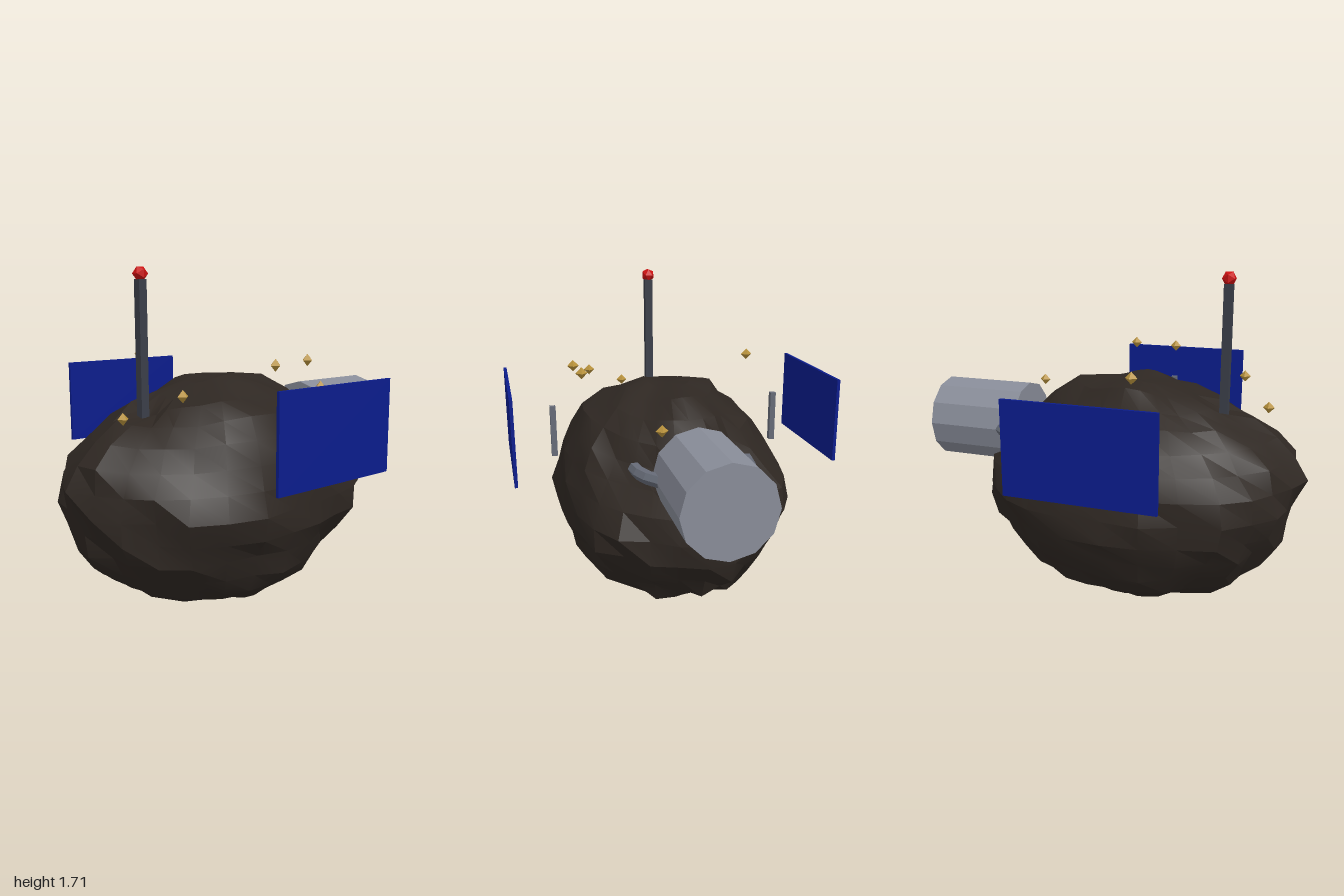
import * as THREE from 'three';
import { toCreasedNormals } from 'three/addons/utils/BufferGeometryUtils.js';

const mat = (color, flatShading = true) => new THREE.MeshStandardMaterial({ color, flatShading });

function add(parent, name, geometry, material, x = 0, y = 0, z = 0) {
  const mesh = new THREE.Mesh(geometry, material);
  mesh.name = name;
  mesh.position.set(x, y, z);
  parent.add(mesh);
  return mesh;
}

// Large lumps and dents of the rock: direction, then height
const LUMPS = [
  [-0.97, 0.24, 0, 0.08], [-1, -0.08, 0, -0.05], [-0.7, 0.7, 0, 0.05], [-0.55, 0.83, 0, -0.1],
  [0.49, 0.87, 0, 0.07], [0.97, -0.24, 0, 0.06], [1, 0.05, 0, 0.03],
  [0, 0.72, 0.7, 0.1], [0, -0.7, 0.72, 0.08], [0, -0.7, -0.72, 0.08],
  [-0.68, 0, -0.73, 0.1], [0.48, 0, -0.88, 0.08], [0.7, 0, 0.71, 0.1], [-0.47, 0, 0.88, 0.08],
  [0, 0.97, -0.22, 0.05], [0, 0.97, 0.22, 0.03], [0.19, -0.97, 0.2, 0.06], [-0.2, -0.97, -0.2, 0.04],
  [0, 0, 1, 0.05], [0, 0, -1, 0.05],
  // recesses under the docking clamps
  [0.68, 0.55, 0.48, -0.13], [0.68, 0.55, -0.48, -0.13], [0.83, 0.56, 0, -0.06],
].map(([x, y, z, h]) => ({ dir: new THREE.Vector3(x, y, z).normalize(), h }));

// Ellipsoid with lumps, dents and a finer ripple
function rockGeometry() {
  const geo = new THREE.SphereGeometry(1, 28, 16);
  geo.deleteAttribute('uv');
  const pos = geo.attributes.position;
  const n = new THREE.Vector3();
  for (let i = 0; i < pos.count; i++) {
    n.fromBufferAttribute(pos, i);
    const { x, y, z } = n;
    let r = 0.955
      + 0.03 * Math.sin(11 * x + 1.3) * Math.cos(10 * z + 4 * y)
      + 0.03 * Math.sin(11 * y + 5 * x + 0.6) * Math.cos(10 * z - 4 * x);
    for (const { dir, h } of LUMPS) r += h * Math.exp((n.dot(dir) - 1) / 0.04);
    pos.setXYZ(i, x * r * 0.86, y * r * 0.59, z * r * 0.605);
  }
  return toCreasedNormals(geo, 0.4);
}

export function createModel() {
  const model = new THREE.Group();
  model.name = 'asteroidStation';

  const rock = mat(0x2e2722, false);
  const hull = mat(0x888c98);
  const steel = mat(0x666b77);
  const dark = mat(0x3a3e48);
  const blue = mat(0x0b1c8c);
  const gold = mat(0xb8923c);
  const red = mat(0xcc1111);

  add(model, 'asteroid', rockGeometry(), rock, -0.14, 0.59, 0);

  // Habitat module lying along x
  const habitat = add(model, 'habitatModule', new THREE.CylinderGeometry(0.22, 0.22, 0.5, 12), hull, 0.75, 0.87, 0);
  habitat.rotation.z = -Math.PI / 2;

  // Docking clamps curving in from the rock to the module: half ring through the hull
  const clampGeometry = new THREE.TorusGeometry(0.28, 0.033, 6, 12, Math.PI);
  clampGeometry.rotateZ(-Math.PI / 2).rotateX(Math.PI / 2);
  add(model, 'dockingClamp', clampGeometry, steel, 0.38, 0.87, 0);

  // Solar panels and their struts on both sides
  for (const side of [1, -1]) {
    add(model, 'solarPanel', new THREE.BoxGeometry(0.72, 0.44, 0.016), blue, -0.14, 0.98, side * 0.83);
    add(model, 'panelStrut', new THREE.BoxGeometry(0.03, 0.27, 0.03), steel, -0.14, 0.925, side * 0.61);
  }

  // Antenna mast with a beacon
  add(model, 'antennaMast', new THREE.BoxGeometry(0.042, 0.7, 0.042), dark, -0.58, 1.3, 0);
  add(model, 'beacon', new THREE.IcosahedronGeometry(0.037), red, -0.58, 1.675, 0);

  // Ore crystals floating above the surface
  const crystals = [
    [-0.78, 1.03, 0.13], [-0.61, 1.14, 0.35], [-0.26, 1.26, -0.49], [-0.18, 1.26, 0.49],
    [0.05, 1.27, 0.475], [0.49, 1.08, 0.17], [0.52, 0.97, -0.09],
  ];
  for (const p of crystals) add(model, 'oreCrystal', new THREE.OctahedronGeometry(0.03), gold, ...p);

  return model;
}
